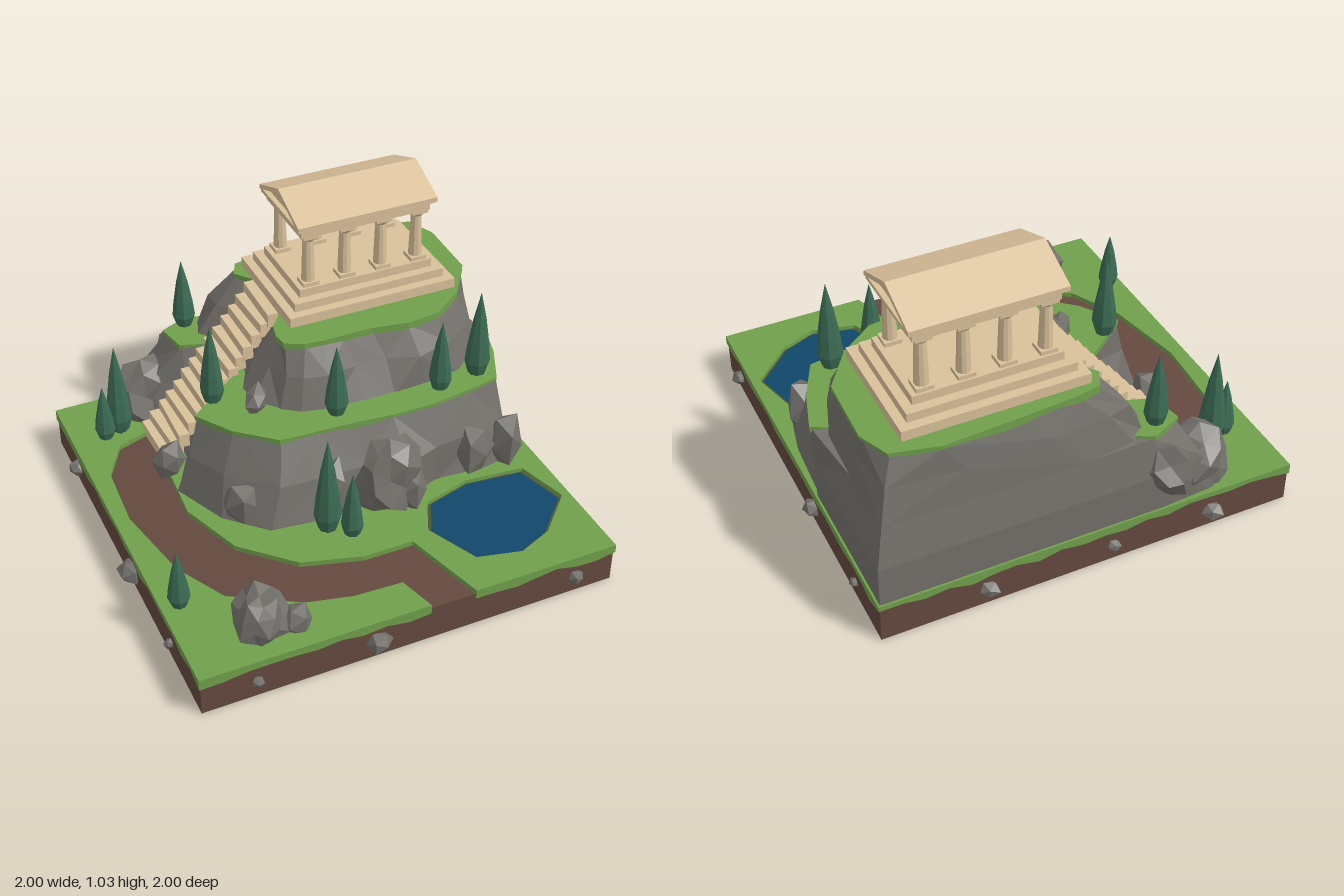
import * as THREE from 'three';

const mat = (name, color, side = THREE.FrontSide) =>
  Object.assign(new THREE.MeshStandardMaterial({ color, flatShading: true, side }), { name });
const M = {
  grass: mat('grass', 0x70a04b, THREE.DoubleSide),
  dirt: mat('dirt', 0x64493f),
  rock: mat('rock', 0x73706b, THREE.DoubleSide),
  stone: mat('stone', 0xd9c09a),
  water: mat('water', 0x0f476a),
  bank: mat('bank', 0x4c5533),
  leaf: mat('leaf', 0x3b6b54),
  trunk: mat('trunk', 0x4c382b),
};

let seed = 7;
const rnd = () => (seed = (seed * 16807) % 2147483647) / 2147483647;

function add(parent, name, geo, material, x = 0, y = 0, z = 0) {
  const m = new THREE.Mesh(geo, material);
  m.name = name;
  m.position.set(x, y, z);
  parent.add(m);
  return m;
}

function surface(pos) {
  const g = new THREE.BufferGeometry();
  g.setAttribute('position', new THREE.Float32BufferAttribute(pos, 3));
  g.computeVertexNormals();
  return g;
}

// Flat polygon in the ground plane, given as [x, z] points
function flat(pts, hole) {
  const v = (p) => new THREE.Vector2(p[0], -p[1]);
  const s = new THREE.Shape(pts.map(v));
  if (hole) s.holes.push(new THREE.Path(hole.map(v)));
  return new THREE.ShapeGeometry(s).rotateX(-Math.PI / 2);
}

// Ragged strip hanging from the border of a polygon
function lip(pts, min, max) {
  const line = [];
  pts.forEach((p, i) => {
    const q = pts[(i + 1) % pts.length];
    const n = Math.max(1, Math.round(Math.hypot(q[0] - p[0], q[1] - p[1]) / 0.075));
    for (let k = 0; k < n; k++) {
      const t = k / n;
      line.push([p[0] + (q[0] - p[0]) * t, p[1] + (q[1] - p[1]) * t, -min - (max - min) * rnd()]);
    }
  });
  const pos = [];
  line.forEach((a, i) => {
    const b = line[(i + 1) % line.length];
    pos.push(a[0], 0, a[1], a[0], a[2], a[1], b[0], b[2], b[1]);
    pos.push(a[0], 0, a[1], b[0], b[2], b[1], b[0], 0, b[1]);
  });
  return surface(pos);
}

function turf(parent, name, pts, y, min, max, hole) {
  const g = new THREE.Group();
  g.name = name;
  g.position.y = y;
  add(g, name + 'Top', flat(pts, hole), M.grass);
  add(g, name + 'Edge', lip(pts, min, max), M.grass);
  if (hole) add(g, name + 'HoleEdge', lip(hole, 0.012, 0.018), M.bank).material = M.grass;
  parent.add(g);
}

function boulder(parent, name, x, y, z, rx, ry, rz, detail = 0) {
  const g = new THREE.IcosahedronGeometry(1, detail);
  const p = g.attributes.position;
  const s = rnd() * 6;
  for (let i = 0; i < p.count; i++) {
    const a = p.getX(i), b = p.getY(i), c = p.getZ(i);
    const f = 1 + 0.17 * Math.sin(a * 3.1 + b * 5.3 + c * 4.2 + s);
    p.setXYZ(i, a * f * rx, b * f * ry, c * f * rz);
  }
  g.computeVertexNormals();
  add(parent, name, g, M.rock, x, y, z).rotation.y = s;
}

// Hill outlines from the back corner clockwise: foot, terrace edge, upper foot, plateau
const FOOT = [[0, -0.99], [0.18, -0.81], [0.36, -0.63], [0.52, -0.45], [0.59, -0.34], [0.5, -0.22], [0.36, -0.1],
  [0.33, 0.02], [0.2, 0.1], [0.09, 0.22], [-0.05, 0.33], [-0.22, 0.33], [-0.42, 0.25], [-0.47, 0.08], [-0.61, -0.06],
  [-0.78, -0.06], [-0.8, -0.17], [-0.67, -0.32], [-0.49, -0.5], [-0.25, -0.74]];
const TERRACE = [[0, -0.95], [0.17, -0.78], [0.36, -0.63], [0.43, -0.5], [0.48, -0.36], [0.42, -0.27], [0.33, -0.15],
  [0.23, -0.05], [0.13, 0.03], [0.03, 0.12], [-0.06, 0.2], [-0.22, 0.21], [-0.36, 0.18], [-0.33, -0.07], [-0.47, -0.21],
  [-0.57, -0.16], [-0.66, -0.22], [-0.62, -0.33], [-0.46, -0.5], [-0.23, -0.73]];
const UPPER = [[0, -0.95], [0.17, -0.78], [0.3, -0.64], [0.37, -0.5], [0.36, -0.36], [0.28, -0.25], [0.2, -0.16],
  [0.12, -0.08], [0.03, 0], [-0.05, 0.05], [-0.12, 0.06], [-0.22, 0.05], [-0.28, 0], [-0.31, -0.09], [-0.45, -0.23],
  [-0.55, -0.24], [-0.58, -0.3], [-0.57, -0.36], [-0.46, -0.5], [-0.23, -0.73]];
const PLATEAU = [[0, -0.87], [0.1, -0.83], [0.26, -0.66], [0.29, -0.5], [0.27, -0.36], [0.2, -0.27], [0.1, -0.2],
  [0.03, -0.13], [-0.02, -0.08], [-0.07, -0.04], [-0.13, -0.02], [-0.17, -0.05], [-0.2, -0.1], [-0.21, -0.19],
  [-0.35, -0.33], [-0.44, -0.34], [-0.46, -0.4], [-0.42, -0.46], [-0.3, -0.6], [-0.13, -0.79]];

function buildHill(root) {
  const isBack = (i) => i < 3 || i > 16;
  const mid = (a, b, keepBack) => a.map((p, i) => {
    if (keepBack && isBack(i)) return p;
    const loose = i === 13 || i === 14 || isBack(i) ? 0 : 0.045;
    const t = 0.45;
    return [0, 1].map((k) => p[k] + (b[i][k] - p[k]) * t + (rnd() - 0.5) * loose);
  });
  const rings = [[FOOT, 0.12], [mid(FOOT, TERRACE, true), 0.28], [TERRACE, 0.415], [UPPER, 0.416],
    [mid(UPPER, PLATEAU, false), 0.53], [PLATEAU, 0.622]];
  const pos = [];
  for (let r = 0; r < rings.length - 1; r++) {
    const [lo, yl] = rings[r], [hi, yh] = rings[r + 1];
    lo.forEach((p, i) => {
      const j = (i + 1) % lo.length;
      const a = [p[0], yl, p[1]], b = [lo[j][0], yl, lo[j][1]];
      const c = [hi[i][0], yh, hi[i][1]], d = [hi[j][0], yh, hi[j][1]];
      if (i % 2) pos.push(...b, ...a, ...c, ...b, ...c, ...d);
      else pos.push(...b, ...a, ...d, ...a, ...c, ...d);
    });
  }
  add(root, 'hill', surface(pos), M.rock);

  // Grass on the two levels, slightly overhanging
  const grow = (pts, s) => pts.map(([x, z]) => [-0.08 + (x + 0.08) * s, -0.42 + (z + 0.42) * s]);
  turf(root, 'terraceGrass', grow(TERRACE.slice(2, 18), 1.015), 0.425, 0.01, 0.025);
  turf(root, 'plateauGrass', grow(PLATEAU, 1.02), 0.635, 0.012, 0.03);
}

function buildTemple(root) {
  const t = new THREE.Group();
  t.name = 'temple';
  t.position.set(-0.08, 0, -0.46);
  t.rotation.y = Math.PI / 4; // long axis is local x
  root.add(t);
  const box = (name, l, h, w, y) => add(t, name, new THREE.BoxGeometry(l, h, w), M.stone, 0, y + h / 2, 0);
  box('lowerStep', 0.6, 0.06, 0.42, 0.61);
  box('middleStep', 0.54, 0.03, 0.36, 0.67);
  box('upperStep', 0.48, 0.03, 0.3, 0.7);
  // Columns
  for (const z of [-0.115, 0.115]) {
    for (let i = 0; i < 4; i++) {
      const x = -0.195 + i * 0.13;
      add(t, 'columnBase', new THREE.BoxGeometry(0.056, 0.014, 0.056), M.stone, x, 0.737, z);
      add(t, 'columnShaft', new THREE.CylinderGeometry(0.018, 0.023, 0.16, 10), M.stone, x, 0.82, z);
      add(t, 'columnCapital', new THREE.CylinderGeometry(0.03, 0.019, 0.014, 10), M.stone, x, 0.9, z);
      add(t, 'columnTop', new THREE.BoxGeometry(0.056, 0.01, 0.056), M.stone, x, 0.911, z);
    }
  }
  // Beam, cornice, recessed gable and roof slabs
  box('beam', 0.46, 0.03, 0.285, 0.915);
  box('cornice', 0.49, 0.014, 0.305, 0.943);
  const prism = (pts, len) => {
    const s = new THREE.Shape(pts.map((p) => new THREE.Vector2(...p)));
    return new THREE.ExtrudeGeometry(s, { depth: len, bevelEnabled: false })
      .translate(0, 0, -len / 2).rotateY(Math.PI / 2);
  };
  add(t, 'gable', prism([[-0.145, 0.955], [0.145, 0.955], [0, 1.015]], 0.455), M.stone);
  for (const s of [-1, 1]) {
    add(t, 'roofSlab', prism([[0, 1.012], [s * 0.16, 0.95], [s * 0.16, 0.966], [0, 1.03]], 0.495), M.stone);
  }
}

function buildStairs(root) {
  const stairs = new THREE.Group();
  stairs.name = 'stairs';
  root.add(stairs);
  const n = 14;
  for (let i = 0; i < n; i++) {
    const f = i / (n - 1);
    const step = add(stairs, 'stairStep', new THREE.BoxGeometry(0.036, 0.05, 0.2 + rnd() * 0.025), M.stone,
      -0.58 + 0.275 * f, 0.142 + 0.468 * f, 0.04 - 0.275 * f);
    step.rotation.y = Math.PI / 4 + (rnd() - 0.5) * 0.1;
  }
}

function buildTree(root, x, y, z, h) {
  const t = new THREE.Group();
  t.name = 'cypress';
  t.position.set(x, y, z);
  root.add(t);
  const r = 0.022 + h * 0.062;
  add(t, 'trunk', new THREE.CylinderGeometry(0.008, 0.01, 0.03, 6), M.trunk, 0, 0.01, 0);
  const profile = [[0, 0.05], [0.7, 0.06], [1, 0.2], [0.85, 0.4], [0.5, 0.7], [0, 1]]
    .map(([a, b]) => new THREE.Vector2(a * r, b * h));
  add(t, 'foliage', new THREE.LatheGeometry(profile, 8), M.leaf).rotation.y = rnd() * 3;
}

export function createModel() {
  const root = new THREE.Group();
  root.name = 'hillTempleDiorama';

  // Ground block; the path is cut into the grass and runs out at the edge
  add(root, 'earthBlock', new THREE.CylinderGeometry(0.993, 0.993, 0.124, 4), M.dirt, 0, 0.062, 0);
  const path = [[0.645, 0.355], [0.39, 0.21], [0.27, 0.33], [0.09, 0.43], [-0.13, 0.43], [-0.34, 0.33], [-0.48, 0.17],
    [-0.5, 0.0], [-0.64, -0.02], [-0.7, 0.1], [-0.66, 0.25], [-0.5, 0.43], [-0.26, 0.59], [-0.07, 0.65], [0.17, 0.59],
    [0.3, 0.51], [0.42, 0.4], [0.535, 0.465]];
  const pond = [[0.62, -0.27], [0.78, -0.18], [0.78, 0.01], [0.73, 0.13], [0.6, 0.21], [0.42, 0.14], [0.375, 0.01],
    [0.46, -0.14]];
  turf(root, 'meadow', [[0, -1], [1, 0], ...path, [0, 1], [-1, 0]], 0.142, 0.017, 0.042, pond);
  const shrink = (s) => pond.map(([x, z]) => [0.6 + (x - 0.6) * s, -0.02 + (z + 0.02) * s]);
  add(root, 'pondBank', flat(pond), M.bank, 0, 0.127, 0);
  add(root, 'pondWater', flat(shrink(0.95)), M.water, 0, 0.132, 0);

  buildHill(root);
  buildTemple(root);
  buildStairs(root);

  [[-0.61, 0.42, -0.27, 0.27], [-0.73, 0.14, 0.03, 0.36], [-0.76, 0.14, 0.08, 0.22], [-0.34, 0.42, 0.1, 0.3],
    [0.06, 0.42, 0.02, 0.27], [0.33, 0.42, -0.23, 0.27], [0.42, 0.42, -0.35, 0.33], [0.12, 0.14, 0.26, 0.37],
    [0.2, 0.14, 0.25, 0.25], [-0.18, 0.14, 0.74, 0.22]].forEach((a) => buildTree(root, ...a));

  // Boulders around the hill
  [[0.08, 0.18, 0.73, 0.09, 0.1, 0.085], [0.18, 0.16, 0.68, 0.05, 0.055, 0.045], [-0.72, 0.2, -0.13, 0.11, 0.14, 0.09],
    [-0.63, 0.27, -0.27, 0.11, 0.12, 0.08], [-0.48, 0.19, 0.16, 0.06, 0.07, 0.06], [0.25, 0.24, 0.04, 0.11, 0.15, 0.09],
    [0.32, 0.2, 0.02, 0.06, 0.08, 0.06], [0.54, 0.2, -0.32, 0.07, 0.12, 0.08], [0.46, 0.22, -0.22, 0.07, 0.1, 0.07],
    [-0.2, 0.45, 0.07, 0.06, 0.05, 0.045], [-0.16, 0.19, 0.28, 0.08, 0.09, 0.06], [0.1, 0.22, 0.16, 0.06, 0.13, 0.06],
  ].forEach((b) => boulder(root, 'boulder', ...b, b[3] > 0.085 ? 1 : 0));

  // Stones stuck in the earth sides
  [[-0.43, 0.57, 0.045], [-0.83, 0.17, 0.03], [-0.18, 0.82, 0.02], [0.13, 0.87, 0.022], [0.41, 0.59, 0.045],
    [0.9, 0.1, 0.03], [0.9, -0.1, 0.034], [0.39, -0.61, 0.04], [0.14, -0.86, 0.02], [-0.25, -0.75, 0.034],
    [-0.55, -0.45, 0.022], [-0.8, -0.2, 0.036]].forEach(([x, z, r]) =>
    boulder(root, 'edgeStone', x, 0.062, z, r, r * 0.85, r));
  return root;
}
